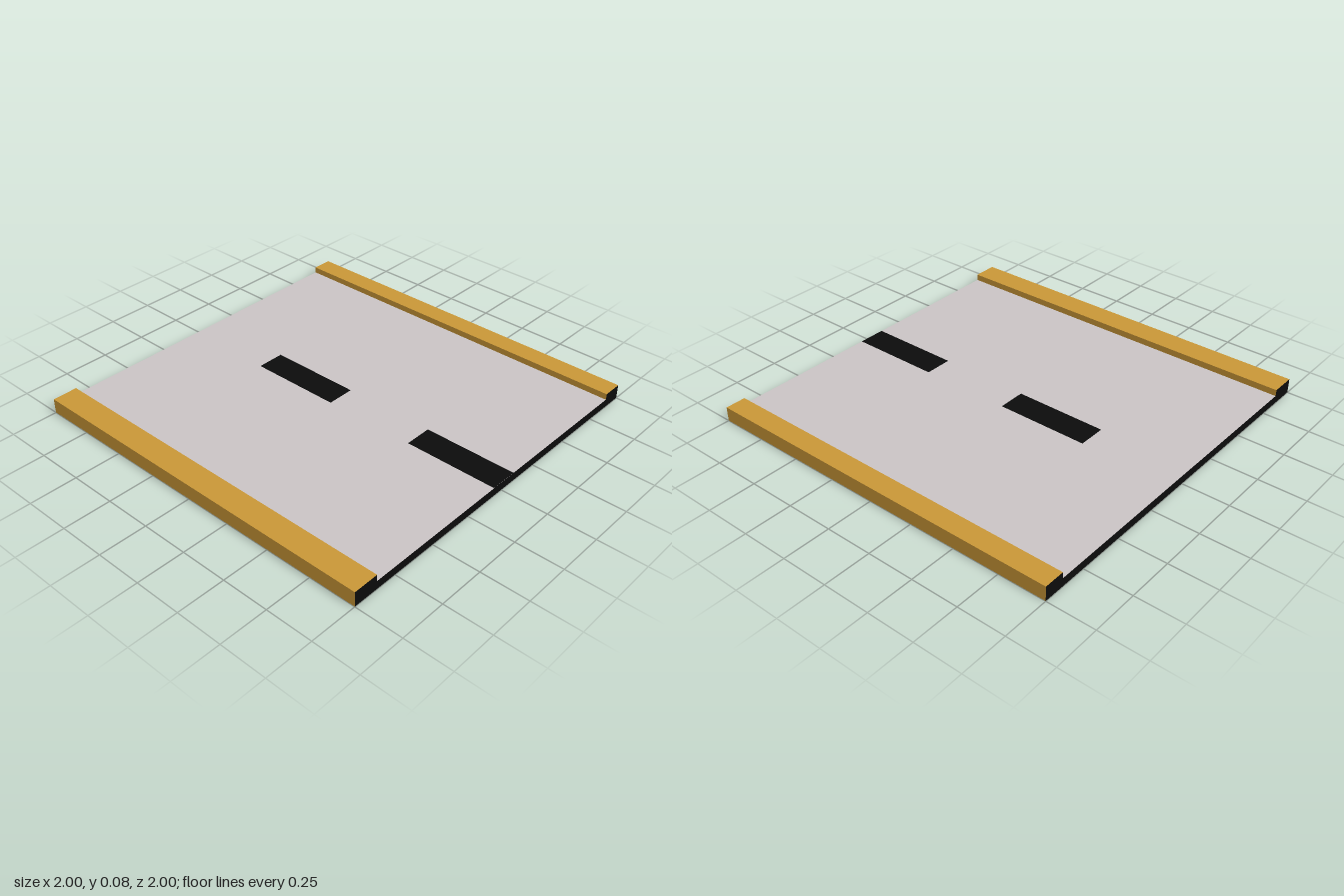
import * as THREE from 'three';

const paint = (color) => new THREE.MeshStandardMaterial({ color });

export function createModel() {
  const group = new THREE.Group();
  const black = paint(0x0b0b0b), grey = paint(0xcac4c5), ochre = paint(0xc99737);

  // Box from its limits; materials in the order +x, -x, +y, -y, +z, -z
  function block(name, [x0, x1], [y0, y1], [z0, z1], material) {
    const mesh = new THREE.Mesh(new THREE.BoxGeometry(x1 - x0, y1 - y0, z1 - z0), material);
    mesh.position.set((x0 + x1) / 2, (y0 + y1) / 2, (z0 + z1) / 2);
    mesh.name = name;
    group.add(mesh);
  }

  // Road slab: pale top, dark underside and ends
  block('roadSlab', [-0.865, 0.89], [0.001, 0.045], [-1, 1],
    [black, black, grey, black, black, black]);

  // Kerbs: coloured along their length, dark ends, partly coloured underneath
  const kerbs = [
    { side: 'left', x: [0.89, 1], top: 0.078, under: [-0.5, 0.5] },
    { side: 'right', x: [-1, -0.865], top: 0.08, under: [-0.5, 1] },
  ];
  for (const { side, x, top, under } of kerbs) {
    block(`${side}Kerb`, x, [0.001, top], [-1, 1], [ochre, ochre, ochre, black, black, black]);

    const patch = new THREE.Mesh(new THREE.PlaneGeometry(x[1] - x[0], under[1] - under[0]), ochre);
    patch.rotation.x = Math.PI / 2; // faces down
    patch.position.set((x[0] + x[1]) / 2, 0, (under[0] + under[1]) / 2);
    patch.name = `${side}KerbUnderside`;
    group.add(patch);
  }

  // Dashed centre line, level with the road
  for (const z of [-0.25, 0.75]) {
    const dash = new THREE.Mesh(new THREE.PlaneGeometry(0.15, 0.5), black);
    dash.rotation.x = -Math.PI / 2; // faces up
    dash.position.set(0.015, 0.046, z);
    dash.name = 'centreDash';
    group.add(dash);
  }
  return group;
}
